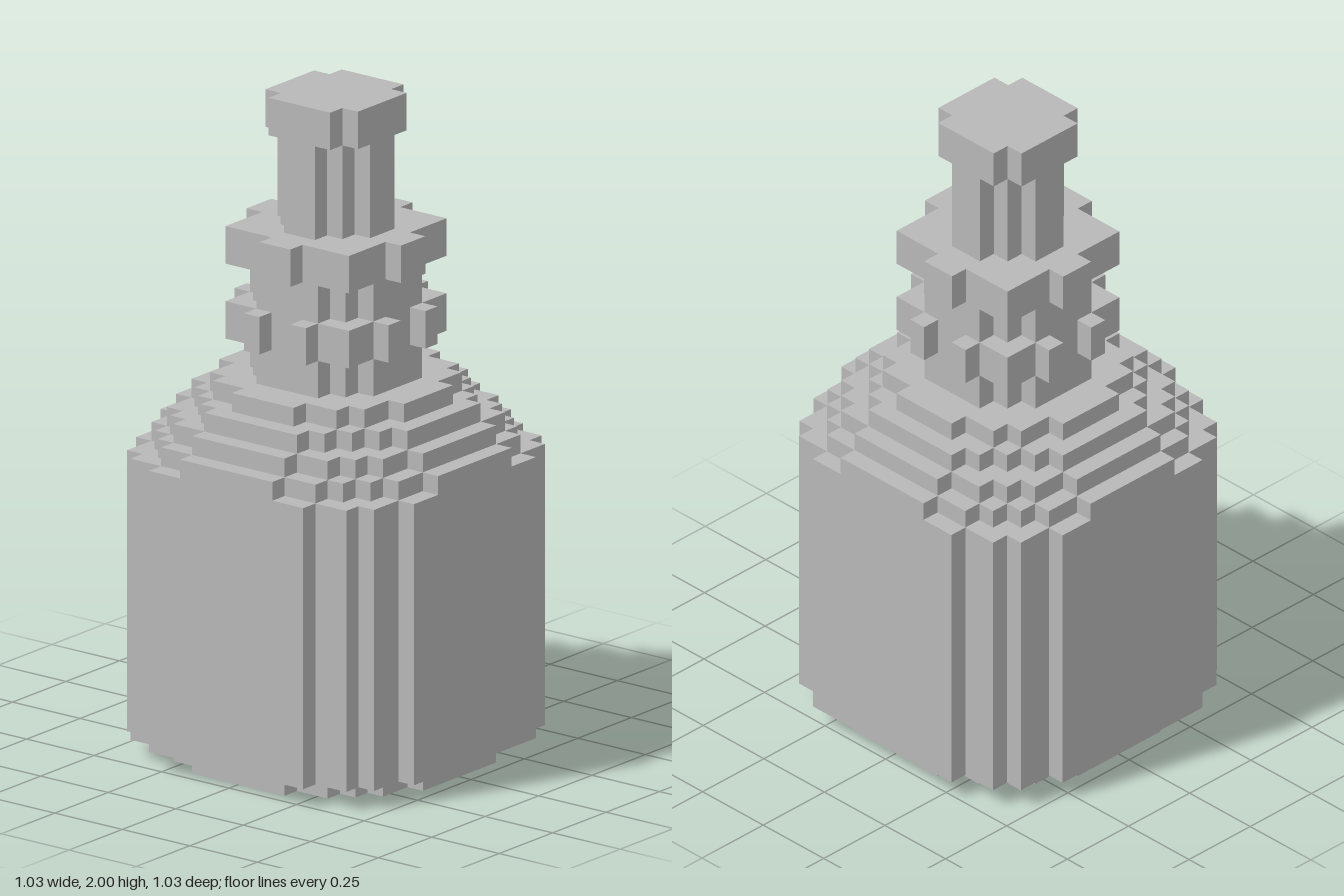
import * as THREE from 'three';

const U = 2 / 35; // block size: the bottle is 35 blocks tall

// Quarter profile of a blocky disc: half-width of each row outward from the middle.
function discRows(radius, limit = radius) {
  const rows = [];
  for (let k = 0; k < limit; k++) {
    const reach = Math.sqrt(radius * radius - (k + 0.5) ** 2);
    rows.push(Math.min(limit, Math.floor(reach + 0.5)));
  }
  return rows;
}

// Stepped outline with four-fold symmetry, extruded over a span of block layers.
function layerGeometry(rows, from, to) {
  const quarter = [];
  rows.forEach((half, k) => {
    if (k > 0 && half !== rows[k - 1]) quarter.push([half, k]);
    if (half !== rows[k + 1]) quarter.push([half, k + 1]);
  });
  const points = [];
  for (let q = 0; q < 4; q++) {
    for (const [x, y] of quarter) {
      const [px, py] = [[x, y], [-y, x], [-x, -y], [y, -x]][q];
      points.push(new THREE.Vector2(px * U, py * U));
    }
  }
  const geometry = new THREE.ExtrudeGeometry(new THREE.Shape(points), {
    depth: (to - from) * U, bevelEnabled: false,
  });
  geometry.rotateX(-Math.PI / 2);
  geometry.translate(0, from * U, 0);
  return geometry;
}

export function createModel() {
  const model = new THREE.Group();
  model.name = 'bottle';
  const grey = new THREE.MeshStandardMaterial({ color: 0xb8b8b8 });
  grey.name = 'grey';

  const add = (name, rows, from, to) => {
    const mesh = new THREE.Mesh(layerGeometry(rows, from, to), grey);
    mesh.name = name;
    model.add(mesh);
  };

  // Base and body
  add('base', discRows(8), 0, 1);
  add('body', discRows(10, 9), 1, 16);

  // Shoulder steps in by one block per layer
  for (let i = 0; i < 4; i++) add('shoulderStep' + (i + 1), discRows(9 - i), 16 + i, 17 + i);

  // Neck with two collars
  const neck = discRows(4);
  add('lowerNeck', neck, 20, 22);
  add('lowerCollar', [4, 4, 4, 4], 22, 24);
  add('upperNeck', neck, 24, 26);
  add('upperCollar', [5, 4, 4, 4, 1], 26, 28);

  // Studs on the lower collar, two per side
  const studs = new THREE.Group();
  studs.name = 'collarStuds';
  const studGeometry = new THREE.BoxGeometry(U, 2 * U, U);
  for (let side = 0; side < 4; side++) {
    const pair = new THREE.Group();
    pair.name = 'studPair';
    pair.rotation.y = side * Math.PI / 2;
    for (const s of [-1, 1]) {
      const stud = new THREE.Mesh(studGeometry, grey);
      stud.name = 'stud';
      stud.position.set(s * 1.5 * U, 23 * U, 4.5 * U);
      pair.add(stud);
    }
    studs.add(pair);
  }
  model.add(studs);

  // Cross-shaped stopper stem with a wider cap
  add('stopperStem', [3, 2, 1], 28, 33);
  add('stopperCap', [3, 3, 2], 33, 35);

  return model;
}
